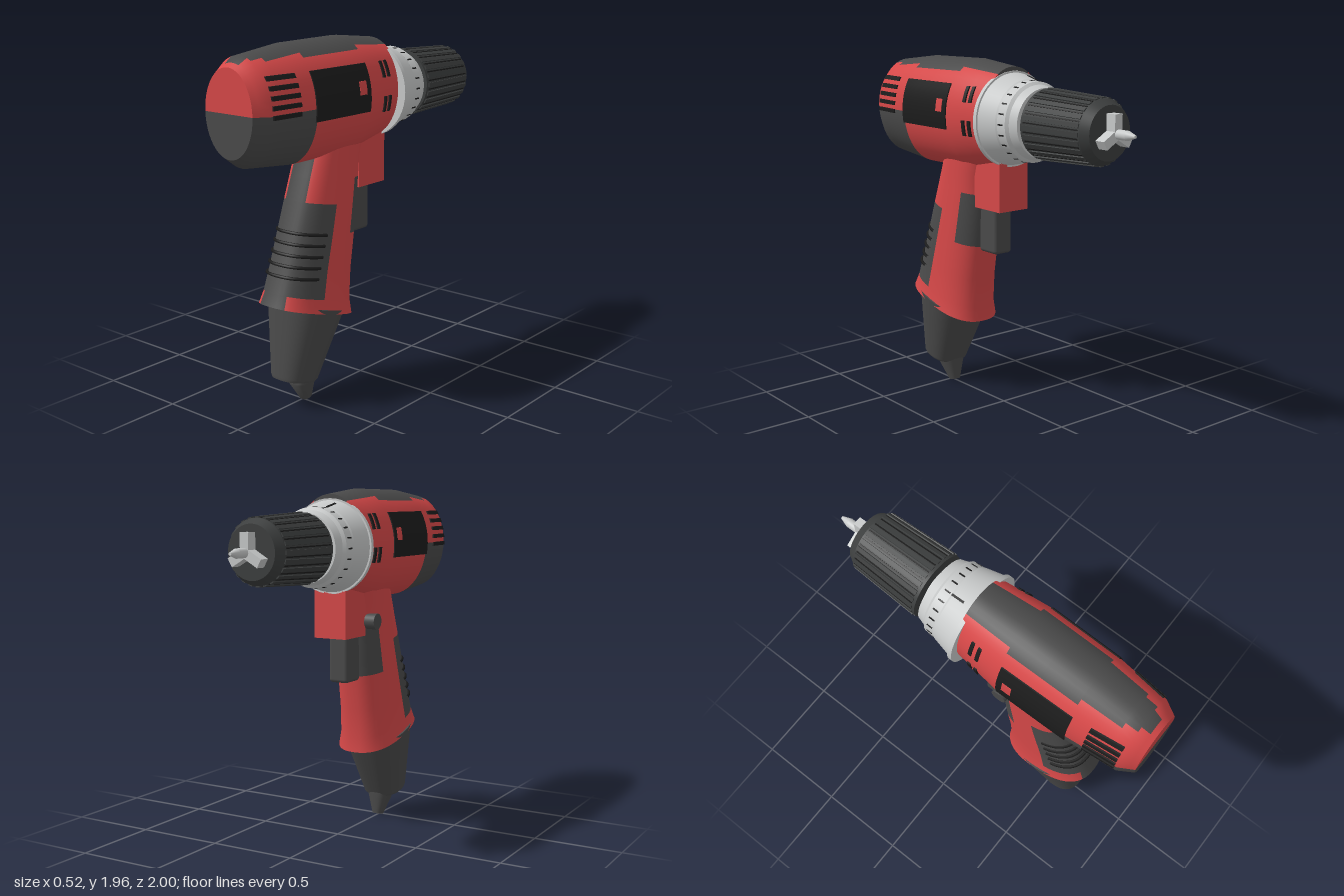
import * as THREE from 'three';
import { RoundedBoxGeometry } from 'three/addons/geometries/RoundedBoxGeometry.js';

const SEG = 48;
const AXIS = 1.647; // height of the drill axis

const mat = (name, color) => {
  const m = new THREE.MeshStandardMaterial({ color });
  m.name = name;
  return m;
};

// Skin closed rings, with a material index chosen for each strip (row) and segment
function loft(rings, pick) {
  const n = rings.length, pos = [], byMat = [[], [], []];
  const add = p => pos.push(p.x, p.y, p.z) / 3 - 1;
  rings.forEach(r => r.forEach(add));
  for (let i = 0; i < n - 1; i++) for (let j = 0; j < SEG; j++) {
    const k = (j + 1) % SEG, a = i * SEG, b = a + SEG;
    byMat[pick(i, j)].push(a + j, a + k, b + k, a + j, b + k, b + j);
  }
  [0, n - 1].forEach(i => { // end caps
    const ring = rings[i];
    const mid = ring.reduce((s, p) => s.add(p), new THREE.Vector3()).divideScalar(SEG);
    const c = add(mid), base = c + 1;
    ring.forEach(add);
    for (let j = 0; j < SEG; j++) {
      const k = (j + 1) % SEG;
      byMat[pick(i ? n - 2 : 0, j)].push(c, ...(i ? [base + j, base + k] : [base + k, base + j]));
    }
  });
  const g = new THREE.BufferGeometry();
  g.setAttribute('position', new THREE.Float32BufferAttribute(pos, 3));
  g.setIndex(byMat.flat());
  let start = 0;
  byMat.forEach((list, m) => {
    if (list.length) g.addGroup(start, list.length, m);
    start += list.length;
  });
  g.computeVertexNormals();
  return g;
}

// Motor housing stations: z, half width, bottom, top
const HOUSING = [[1, .16, 1.42, 1.87], [.92, .205, 1.365, 1.92], [.62, .235, 1.335, 1.955],
  [.2, .24, 1.335, 1.96], [-.08, .21, 1.39, 1.93]];
function housingAt(z) {
  let i = 0;
  while (i < HOUSING.length - 2 && z < HOUSING[i + 1][0]) i++;
  const a = HOUSING[i], b = HOUSING[i + 1], t = (z - a[0]) / (b[0] - a[0]);
  const [w, lo, hi] = [1, 2, 3].map(k => a[k] + (b[k] - a[k]) * t);
  return { w, c: (lo + hi) / 2, h: (hi - lo) / 2 };
}

// Handle section between a back and a front point (z, y), softly squared
const signedPow = (v, e) => Math.sign(v) * Math.abs(v) ** e;
function section([bz, by, fz, fy, w], a, grow = 0) {
  const t = signedPow(Math.cos(a), .8), dz = (bz - fz) / 2, dy = (by - fy) / 2;
  return new THREE.Vector3((w + grow) * signedPow(Math.sin(a), .8),
    (by + fy) / 2 + dy * t, (bz + fz) / 2 + (dz + grow) * t);
}
const sectionRing = s => Array.from({ length: SEG }, (_, j) => section(s, j / SEG * 2 * Math.PI));

export function createModel() {
  const model = new THREE.Group();
  model.name = 'cordlessDrill';
  const red = mat('red casing', 0xd64848), grey = mat('dark grey rubber', 0x4a4a4a);
  const black = mat('black trim', 0x1c1c1c), charcoal = mat('charcoal chuck', 0x3c3e3e);
  const silver = mat('silver metal', 0xc8caca);
  const skin = [red, grey, black];
  const add = (name, geo, material, parent = model) => {
    const m = new THREE.Mesh(geo, material);
    m.name = name;
    parent.add(m);
    return m;
  };
  const fromTop = j => Math.min(j, SEG - 1 - j); // segment count away from the zero angle

  // Motor housing with rubber top strip and rubber lower rear
  const zs = [1, .97, .92, .85, .62, .4, .2, .05, -.08];
  const strip = [0, 2, 3, 4, 5, 5, 4, 4];
  const rings = zs.map(z => {
    const { w, c, h } = housingAt(z);
    return Array.from({ length: SEG }, (_, j) => {
      const a = j / SEG * 2 * Math.PI;
      return new THREE.Vector3(w * Math.sin(a), c + h * Math.cos(a), z);
    });
  });
  add('motorHousing', loft(rings, (i, j) =>
    fromTop(j) < strip[i] || (i < 4 && fromTop(j) >= 12) ? 1 : 0), skin);

  // Thin plates bent onto both housing sides
  const plate = (name, z, y, lz, ly, out, material) => {
    for (const s of [1, -1]) {
      const g = new THREE.BoxGeometry(.009, ly, lz, 1, 8, 8).translate(0, y, z);
      const p = g.attributes.position;
      for (let i = 0; i < p.count; i++) {
        const { w, c, h } = housingAt(p.getZ(i));
        const x = w * Math.sqrt(Math.max(0, 1 - ((p.getY(i) - c) / h) ** 2));
        p.setX(i, p.getX(i) + s * (x + out));
      }
      g.computeVertexNormals();
      add(name, g, material);
    }
  };
  plate('sidePanel', .42, 1.705, .42, .25, .002, black);
  plate('panelWindow', .272, 1.71, .055, .07, .004, red);
  for (let i = 0; i < 5; i++) plate('rearVent', .82, 1.635 + i * .046, .18, .022, .005, black);
  for (const z of [.025, .07]) for (const y of [1.6, 1.783])
    plate('frontVent', z, y, .02, .085, .004, black);

  // Handle, bottom to top: back z, back y, front z, front y, half width
  const H = [[.745, .60, .185, .445, .185], [.715, .665, .192, .53, .168], [.665, .80, .178, .70, .16],
    [.602, .98, .145, .90, .155], [.55, 1.13, .125, 1.06, .15], [.507, 1.25, .108, 1.205, .145],
    [.47, 1.35, .10, 1.31, .143], [.44, 1.45, .07, 1.42, .143]];
  add('handle', loft(H.map(sectionRing), (i, j) => {
    const k = fromTop(j);
    const grip = i >= 1 && i <= 3 && k < 11, spine = k < 3, finger = (i === 3 || i === 4) && k >= 15;
    return grip || spine || finger ? 1 : 0;
  }), skin);

  // Raised ribs around the back of the grip
  for (let i = 0; i < 5; i++) {
    const y = .755 + i * .055, bz = .682 - (y - .755) * .36;
    const s = [bz, y, bz - .475, y - .08, .16 - i * .002];
    const pts = Array.from({ length: 25 }, (_, k) => section(s, (k / 12 - 1) * 1.25, .004));
    add('gripRib', new THREE.TubeGeometry(new THREE.CatmullRomCurve3(pts), 48, .009, 6), black);
  }

  // Tapered base and cord nub
  add('handleBase', loft([[.683, .172, .46, .122, .105], [.685, .19, .445, .135, .115],
    [.655, .60, .275, .49, .19]].map(sectionRing), () => 1), skin);
  add('cordNub', loft([[.508, .003, .445, .015, .03], [.575, .105, .44, .12, .065],
    [.55, .15, .44, .15, .07]].map(sectionRing), () => 1), skin);

  // Trigger housing, trigger and side button
  add('triggerHousing', new THREE.BoxGeometry(.2, .31, .22), red).position.set(0, 1.295, .025);
  add('trigger', new RoundedBoxGeometry(.12, .32, .15, 3, .02), grey).position.set(0, 1.04, .075);
  const button = add('sideButton', new THREE.CylinderGeometry(.045, .045, .08, 24), grey);
  button.rotation.z = Math.PI / 2;
  button.position.set(-.122, 1.22, .165);

  // Front assembly is turned around +y, then laid so +y points to -z
  const nose = new THREE.Group();
  nose.name = 'nose';
  nose.rotation.x = -Math.PI / 2;
  nose.position.y = AXIS;
  model.add(nose);
  // Each profile edge gets its own lathe so that edges stay crisp
  const turned = (name, profile, material) => {
    const part = new THREE.Group();
    part.name = name;
    nose.add(part);
    for (let i = 0; i < profile.length - 1; i++) add(name + 'Surface', new THREE.LatheGeometry(
      [profile[i], profile[i + 1]].map(p => new THREE.Vector2(...p)), 48), material, part);
  };
  turned('collar', [[0, .06], [.26, .06], [.26, .085], [.25, .085], [.223, .2], [.218, .21], [.215, .27],
    [.2, .285], [.185, .333], [0, .333]], silver);
  turned('spindle', [[.11, .32], [.11, .37]], silver);
  turned('chuck', [[0, .36], [.186, .36], [.168, .78], [.14, .825], [0, .825]], charcoal);
  turned('bit', [[.025, .8], [.025, .95], [.008, 1], [0, 1]], silver);

  // Parts repeated around the axis
  const around = (name, count, size, r, along, tilt, material, offset = 0) => {
    for (let i = 0; i < count; i++) {
      const arm = new THREE.Group();
      arm.name = name;
      arm.rotation.y = offset + i / count * 2 * Math.PI;
      nose.add(arm);
      const m = add(name + 'Bar', new THREE.BoxGeometry(...size), material, arm);
      m.position.set(0, along, r);
      m.rotation.x = tilt;
    }
  };
  around('chuckRib', 24, [.022, .40, .016], .175, .575, -.043, charcoal);
  around('chuckGroove', 24, [.007, .39, .006], .1765, .575, -.043, black, Math.PI / 24);
  around('torqueMark', 24, [.008, .035, .008], .215, .235, -.05, black);
  around('torquePointer', 1, [.012, .08, .008], .23, .168, -.23, black, -.26);
  around('jaw', 3, [.05, .08, .1], .05, .845, 0, silver);
  return model;
}
